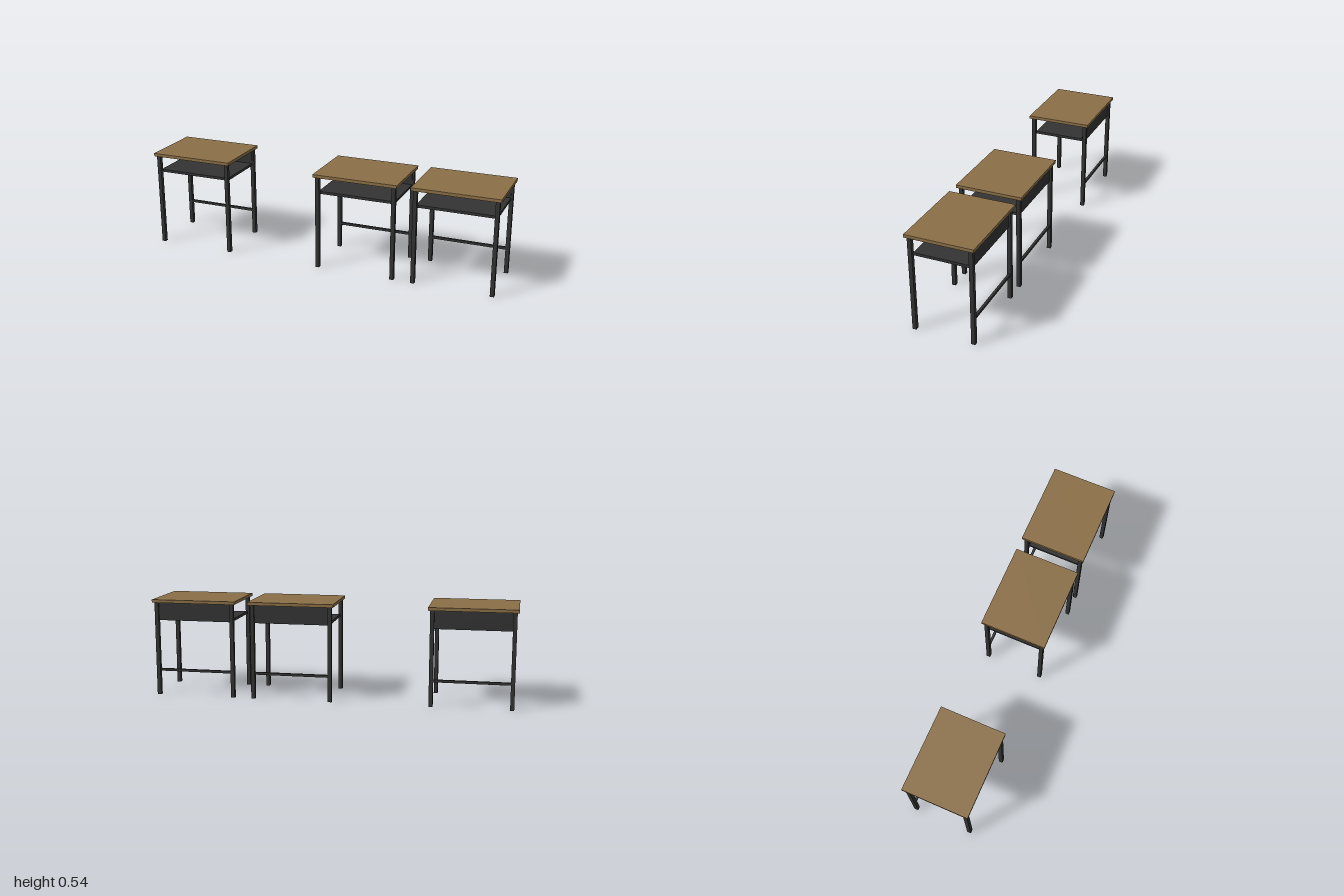
import * as THREE from 'three';

const wood = new THREE.MeshStandardMaterial({ color: 0x8b6f47 });
wood.name = 'wood brown';
const metal = new THREE.MeshStandardMaterial({ color: 0x333333 });
metal.name = 'dark metal';

function addBox(parent, name, material, size, position) {
  const mesh = new THREE.Mesh(new THREE.BoxGeometry(...size), material);
  mesh.name = name;
  mesh.position.set(...position);
  parent.add(mesh);
}

function createDesk() {
  const desk = new THREE.Group();
  desk.name = 'desk';
  const legX = 0.215, legZ = 0.16, leg = 0.0215, legHeight = 0.522;

  // Wooden top overhanging the legs
  addBox(desk, 'deskTop', wood, [0.473, 0.017, 0.364], [0, 0.5305, 0]);

  // Four square legs
  for (const [sx, side] of [[1, 'Left'], [-1, 'Right']]) {
    for (const [sz, end] of [[1, 'front'], [-1, 'back']]) {
      addBox(desk, `${end}${side}Leg`, metal, [leg, legHeight, leg],
        [sx * legX, legHeight / 2, sz * legZ]);
    }
  }

  // Open-fronted book shelf with its back panel
  addBox(desk, 'shelf', metal, [0.43, 0.0145, 0.297], [0, 0.4295, -0.0015]);
  addBox(desk, 'backPanel', metal, [0.43, 0.1, 0.015], [0, 0.472, -0.1525]);

  // Low crossbar between the back legs
  addBox(desk, 'crossbar', metal, [0.43, 0.0135, 0.0135], [0, 0.142, -legZ]);
  return desk;
}

export function createModel() {
  const model = new THREE.Group();
  model.name = 'deskRow';
  // Three desks with a wide aisle after the first
  for (const x of [-0.7635, 0.2165, 0.7635]) {
    const desk = createDesk();
    desk.position.x = x;
    model.add(desk);
  }
  return model;
}
